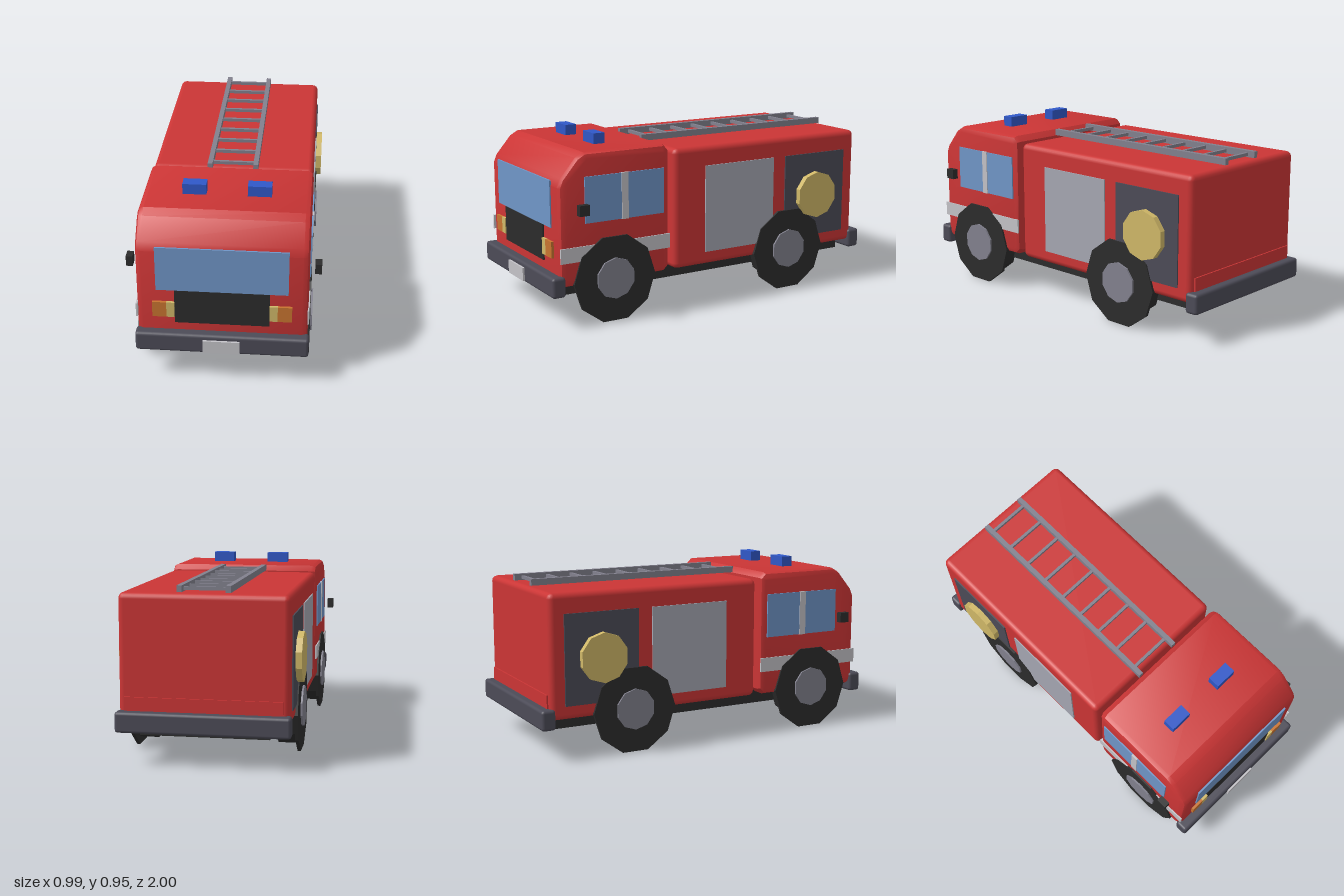
import * as THREE from 'three';
import { toCreasedNormals } from 'three/addons/utils/BufferGeometryUtils.js';
import { RoundedBoxGeometry } from 'three/addons/geometries/RoundedBoxGeometry.js';

const paint = (name, color) => {
  const m = new THREE.MeshStandardMaterial({ color });
  m.name = name;
  return m;
};

export function createModel() {
  const truck = new THREE.Group();
  truck.name = 'fireTruck';

  const red = paint('red', 0xcb3535);
  const black = paint('black', 0x2c2c2c);
  const slate = paint('slate', 0x4c4b57);
  const glass = paint('glass', 0x7096c8);
  const blue = paint('beaconBlue', 0x3058c8);
  const silver = paint('silver', 0xa6a7b2);
  const pale = paint('paleGrey', 0xc4c3c8);
  const gold = paint('gold', 0xd0b868);
  const orange = paint('orange', 0xc87430);
  const steel = paint('steel', 0x82818e);

  const add = (name, geometry, material, x = 0, y = 0, z = 0) => {
    const mesh = new THREE.Mesh(geometry, material);
    mesh.name = name;
    mesh.position.set(x, y, z);
    truck.add(mesh);
    return mesh;
  };
  // Box given by its min and max on each axis
  const box = (name, material, [x0, x1], [y0, y1], [z0, z1], radius = 0) => {
    const size = [x1 - x0, y1 - y0, z1 - z0];
    const geometry = radius ? new RoundedBoxGeometry(...size, 2, radius) : new THREE.BoxGeometry(...size);
    return add(name, geometry, material, (x0 + x1) / 2, (y0 + y1) / 2, (z0 + z1) / 2);
  };
  // The same box on both sides, x0 and x1 measured outwards
  const sideBoxes = (name, material, [x0, x1], y, z) => {
    box(name + 'Left', material, [x0, x1], y, z);
    box(name + 'Right', material, [-x1, -x0], y, z);
  };
  // Faceted ten-sided disc lying across the truck, on both sides
  const sideDiscs = (name, material, r, [x0, x1], y, z, turn = 0) => {
    const geometry = toCreasedNormals(
      new THREE.CylinderGeometry(r, r, x1 - x0, 10, 1, false, turn).rotateZ(Math.PI / 2), 0.3);
    for (const s of [1, -1]) add(name + (s > 0 ? 'Left' : 'Right'), geometry, material, s * (x0 + x1) / 2, y, z);
  };

  // Chassis and bodywork
  box('chassis', black, [-0.33, 0.33], [0.145, 0.258], [-0.92, 0.92]);
  box('rearBody', red, [-0.43, 0.43], [0.212, 0.866], [-0.949, 0.27], 0.03);
  box('tailPanel', red, [-0.4, 0.4], [0.25, 0.345], [-0.957, -0.94]);

  // Cab: side profile (z, y) extruded across the width with a bevel
  const profile = [
    [0.33, 0.212], [0.908, 0.212], [0.938, 0.242], [0.938, 0.73], [0.92, 0.773],
    [0.835, 0.872], [0.79, 0.897], [0.33, 0.897], [0.3, 0.867], [0.3, 0.242],
  ];
  const bevel = 0.03;
  const cab = new THREE.ExtrudeGeometry(new THREE.Shape(profile.map((p) => new THREE.Vector2(...p))), {
    depth: 0.866 - 2 * bevel, bevelThickness: bevel, bevelSize: bevel, bevelOffset: -bevel, bevelSegments: 2,
  });
  cab.translate(0, 0, -(0.866 - 2 * bevel) / 2).rotateY(-Math.PI / 2);
  add('cab', toCreasedNormals(cab, 0.5), red);

  // Cab front
  box('windscreen', glass, [-0.333, 0.333], [0.512, 0.757], [0.936, 0.945]);
  box('grille', black, [-0.24, 0.24], [0.322, 0.512], [0.936, 0.946]);
  sideBoxes('headlamp', gold, [0.24, 0.281], [0.357, 0.443], [0.936, 0.952]);
  sideBoxes('indicator', orange, [0.281, 0.353], [0.357, 0.443], [0.936, 0.952]);

  // Bumpers and number plate
  box('frontBumper', slate, [-0.442, 0.442], [0.168, 0.275], [0.915, 0.989], 0.016);
  box('rearBumper', slate, [-0.442, 0.442], [0.168, 0.275], [-1, -0.924], 0.016);
  box('plate', pale, [-0.095, 0.093], [0.178, 0.25], [0.985, 1]);

  // Cab sides
  sideBoxes('sideWindow', glass, [0.43, 0.44], [0.537, 0.777], [0.34, 0.8]);
  sideBoxes('windowPillar', pale, [0.43, 0.444], [0.535, 0.779], [0.553, 0.591]);
  sideBoxes('stripe', pale, [0.43, 0.439], [0.343, 0.421], [0.302, 0.94]);
  sideBoxes('mirror', black, [0.459, 0.493], [0.59, 0.645], [0.8, 0.856]);

  // Body sides: shutter, equipment bay and hose reel
  sideBoxes('shutter', silver, [0.428, 0.437], [0.284, 0.76], [-0.372, 0.077]);
  sideBoxes('equipmentBay', slate, [0.428, 0.437], [0.284, 0.76], [-0.869, -0.453]);
  sideDiscs('hoseReel', gold, 0.132, [0.43, 0.469], 0.523, -0.66, Math.PI / 10);

  // Wheels: tyre, wide outer face and hub
  for (const [end, z] of [['front', 0.634], ['rear', -0.479]]) {
    sideDiscs(end + 'Tyre', black, 0.1945, [0.323, 0.43], 0.225, z);
    sideDiscs(end + 'WheelFace', black, 0.2365, [0.426, 0.443], 0.225, z);
    sideDiscs(end + 'Hub', steel, 0.11, [0.43, 0.453], 0.229, z, Math.PI / 10);
  }

  // Roof: beacons and ladder
  sideBoxes('beacon', blue, [0.105, 0.227], [0.885, 0.953], [0.573, 0.638]);
  sideBoxes('ladderRail', steel, [0.109, 0.135], [0.87, 0.904], [-0.923, 0.298]);
  for (let i = 0; i < 9; i++) {
    const z = -0.876 + i * 0.1395;
    box('ladderRung', steel, [-0.112, 0.112], [0.877, 0.894], [z - 0.008, z + 0.008]);
  }
  return truck;
}
